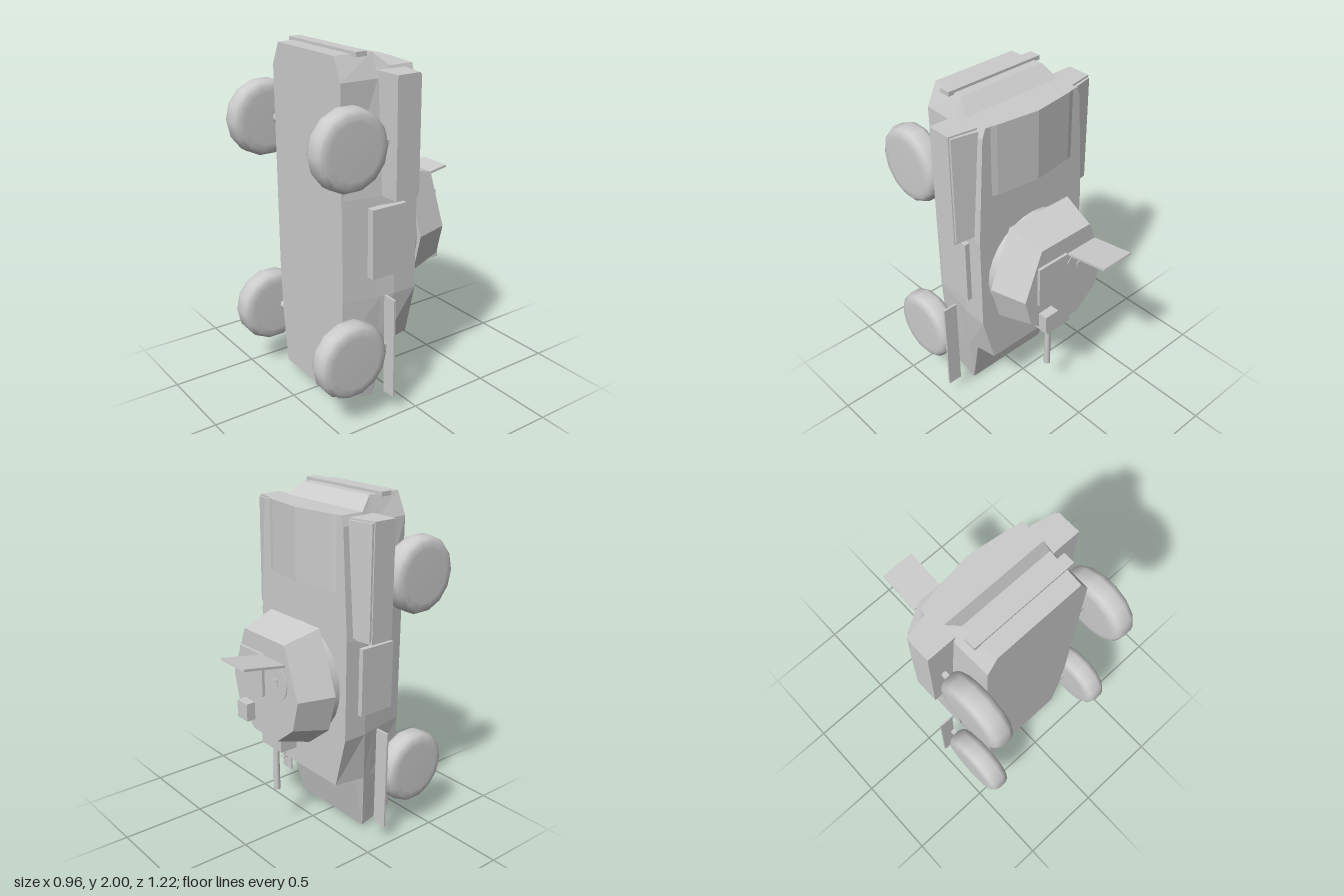
import * as THREE from 'three';

const paint = new THREE.MeshStandardMaterial({ color: 0xcccccc });
paint.name = 'plain grey';

function add(parent, name, geometry, x = 0, y = 0, z = 0) {
  const m = new THREE.Mesh(geometry, paint);
  m.name = name;
  m.position.set(x, y, z);
  parent.add(m);
  return m;
}

// box given by its limits on each axis
function box(parent, name, [x0, x1], [y0, y1], [z0, z1]) {
  return add(parent, name, new THREE.BoxGeometry(Math.abs(x1 - x0), y1 - y0, Math.abs(z1 - z0)),
    (x0 + x1) / 2, (y0 + y1) / 2, (z0 + z1) / 2);
}

// faceted skin over mirrored half sections, closed at both ends
function loft(halves) {
  const rings = halves.map(h => [...h, ...h.map(([x, y, z]) => [-x, y, z]).reverse()]);
  const n = rings[0].length, pos = [];
  const quad = (a, b, c, d) => pos.push(...a, ...b, ...c, ...a, ...c, ...d);
  for (let i = 0; i + 1 < rings.length; i++) {
    const a = rings[i], b = rings[i + 1];
    for (let j = 0; j < n; j++) {
      const k = (j + 1) % n;
      quad(a[j], a[k], b[k], b[j]);
    }
  }
  const first = rings[0], last = rings[rings.length - 1];
  for (let k = 0; k < n / 2 - 1; k++) {
    quad(last[k], last[k + 1], last[n - 2 - k], last[n - 1 - k]);
    quad(first[n - 1 - k], first[n - 2 - k], first[k + 1], first[k]);
  }
  const g = new THREE.BufferGeometry();
  g.setAttribute('position', new THREE.Float32BufferAttribute(pos, 3));
  g.computeVertexNormals();
  return g;
}

// outline in x and z, extruded along y
function prismY(points, y0, y1) {
  const shape = new THREE.Shape(points.map(p => new THREE.Vector2(...p)));
  const g = new THREE.ExtrudeGeometry(shape, { depth: y1 - y0, bevelEnabled: false });
  return g.rotateX(Math.PI / 2).translate(0, y1, 0);
}

function addHull(root) {
  // belly, lower side, shoulder and roof corner of each section
  add(root, 'hull', loft([
    [[.27, .065, .37], [.285, .022, .16], [.285, .02, .15], [.28, .02, .148]],
    [[.305, .375, .37], [.33, .375, .15], [.335, .375, .107], [.3, .375, .07]],
    [[.305, .375, .37], [.33, .375, .15], [.335, .375, .107], [.3, .375, -.075]],
    [[.32, .68, .37], [.36, .68, .15], [.375, .68, .07], [.375, .68, -.075]],
    [[.32, 1.255, .37], [.36, 1.255, .15], [.375, 1.255, .07], [.375, 1.255, -.075]],
    [[.32, 1.86, .37], [.325, 1.86, .15], [.335, 1.86, .07], [.335, 1.86, -.075]],
    [[.26, 1.985, .37], [.275, 1.985, .15], [.315, 1.915, .07], [.315, 1.915, -.075]],
  ]));
  add(root, 'engineDeck', prismY(
    [[-.3, -.07], [-.25, -.085], [0, -.118], [.25, -.085], [.3, -.07]], 1.51, 1.915));
  box(root, 'rearBumper', [-.31, .31], [1.975, 2], [.205, .272]);
  box(root, 'driverVisor', [-.1, .1], [.3, .376], [.035, .075]);
}

function addTurret(root) {
  const turret = new THREE.Group();
  turret.name = 'turret';
  turret.position.y = .955;
  root.add(turret);
  add(turret, 'turretRing', new THREE.CylinderGeometry(.325, .325, .065, 28).rotateX(Math.PI / 2), 0, 0, -.1);
  const outline = [[.215, .35], [.355, 0], [.3, -.215], [.13, -.355]];
  add(turret, 'turretShell', loft([[1, -.128], [.83, -.338]]
    .map(([s, z]) => outline.map(([x, y]) => [x * s, y * s, z]))));

  // hatches and sight
  box(turret, 'closedHatch', [0, .207], [-.06, .19], [-.355, -.335]);
  const lid = add(turret, 'openHatch', new THREE.BoxGeometry(.207, .014, .262), -.105, .208, -.483);
  lid.rotation.x = .165;
  add(turret, 'hatchRim', new THREE.CylinderGeometry(.1, .1, .006, 24).rotateX(Math.PI / 2), -.105, .06, -.339);
  box(turret, 'hatchPeriscope', [-.125, -.085], [.04, .08], [-.348, -.335]);
  box(turret, 'gunnerSight', [.1, .193], [-.235, -.13], [-.393, -.33]);

  // weapons
  box(turret, 'mantlet', [-.09, .09], [-.385, -.25], [-.3, -.19]);
  add(turret, 'gunBarrel', new THREE.CylinderGeometry(.016, .02, .31, 14), .03, -.53, -.245);
  add(turret, 'machineGun', new THREE.CylinderGeometry(.008, .008, .06, 8), -.045, -.41, -.245);
  box(turret, 'machineGunMuzzle', [-.06, -.03], [-.442, -.435], [-.26, -.23]);
}

function addSide(root, s) {
  const side = new THREE.Group();
  side.name = s > 0 ? 'leftSide' : 'rightSide';
  root.add(side);
  box(side, 'sideLocker', [s * .36, s * .405], [.815, 1.205], [.015, .235]);
  box(side, 'frontFender', [s * .395, s * .482], [.105, .7], [.138, .15]);

  // rear stowage bin with sloping lid
  add(side, 'rearBin', prismY(
    [[s * .3, .145], [s * .482, .145], [s * .482, .005], [s * .3, -.025]], 1.255, 1.9));
  add(side, 'rearBinLid', prismY(
    [[s * .32, -.022], [s * .476, .006], [s * .476, -.008], [s * .33, -.04]], 1.27, 1.89));

  // headlight
  add(side, 'headlight', new THREE.CylinderGeometry(.03, .03, .06, 14), s * .207, .03, .2);

  // wheels with rounded shoulders
  const profile = [[0, -.0675], [.15, -.0675], [.185, -.064], [.206, -.05], [.217, -.026],
    [.217, .026], [.206, .05], [.185, .064], [.15, .0675], [0, .0675]]
    .map(p => new THREE.Vector2(...p));
  for (const [name, y] of [['front', .4], ['rear', 1.555]]) {
    add(side, name + 'Wheel', new THREE.LatheGeometry(profile, 14).rotateZ(Math.PI / 2), s * .412, y, .392);
    add(side, name + 'Axle', new THREE.CylinderGeometry(.03, .03, .12, 10).rotateZ(Math.PI / 2), s * .32, y, .34);
    box(side, name + 'Strut', [s * .393, s * .42], [y - .015, y + .015], [.14, .19]);
  }
}

export function createModel() {
  const root = new THREE.Group();
  root.name = 'armouredCar';
  addHull(root);
  addTurret(root);
  for (const s of [1, -1]) addSide(root, s);
  return root;
}
